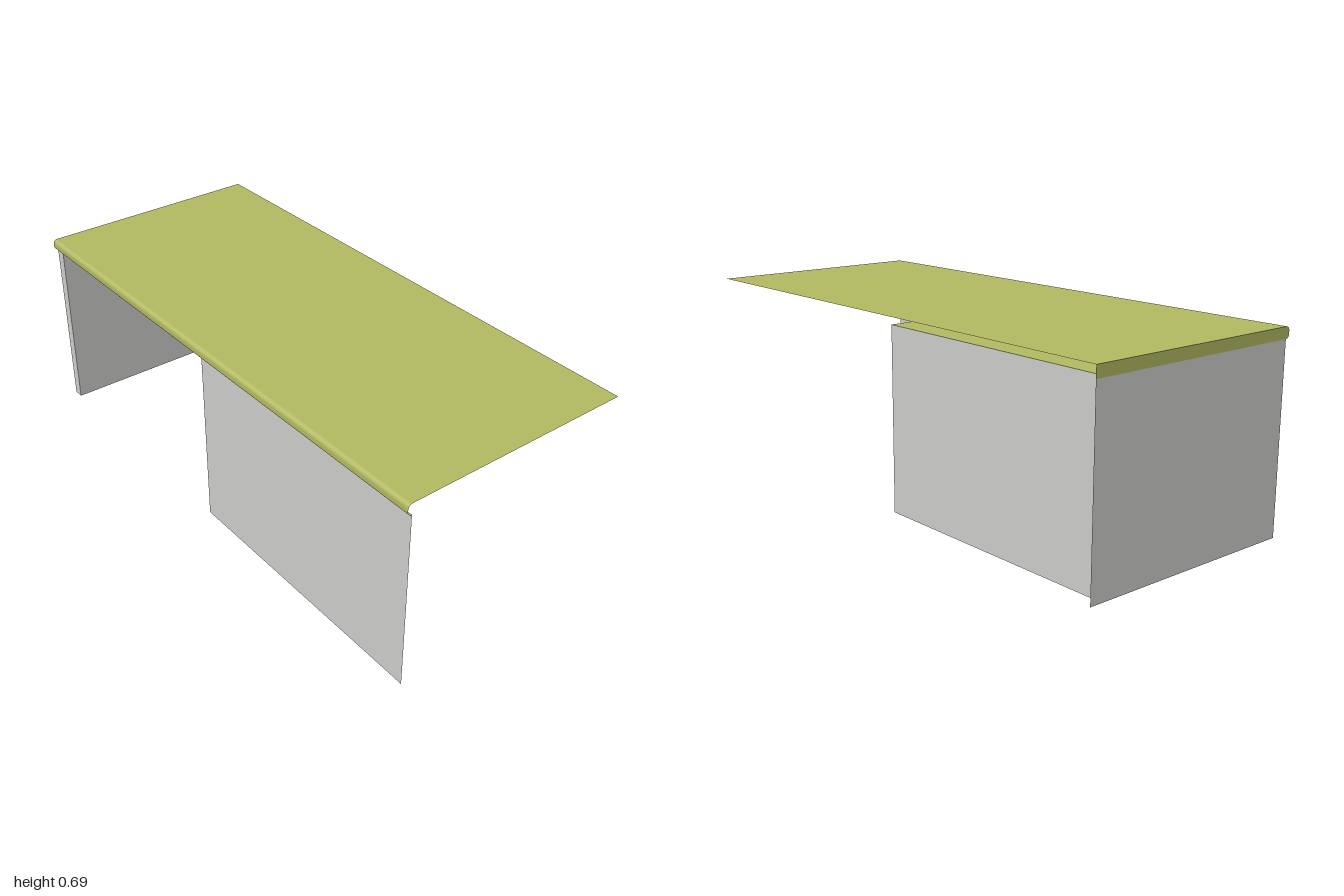
import * as THREE from 'three';

const X = 1, BACK = -0.425, FACE = 0.41, KNEE_BACK = -0.378;
const LEG_IN = -0.962, KNEE_END = -0.02;
const Y0 = 0.652, Y1 = 0.692, R = 0.015;

export function createModel() {
  const group = new THREE.Group();
  const panelGrey = new THREE.MeshStandardMaterial({ color: 0xcbcbca, side: THREE.DoubleSide });
  panelGrey.name = 'panelGrey';
  const topGreen = new THREE.MeshStandardMaterial({ color: 0xb0b861, side: THREE.DoubleSide });
  topGreen.name = 'topGreen';

  const add = (name, geometry, material) => {
    const mesh = new THREE.Mesh(geometry, material);
    mesh.name = name;
    group.add(mesh);
    return mesh;
  };

  // Upright panels: one continuous folded sheet, as plan points [x, z]
  const plan = [[-X, BACK], [-X, FACE], [LEG_IN, FACE], [LEG_IN, KNEE_BACK],
    [KNEE_END, KNEE_BACK], [KNEE_END, FACE], [X, FACE]];
  const names = ['legOuterPanel', 'legFrontEdge', 'legInnerPanel',
    'kneeholeBackPanel', 'kneeholeSidePanel', 'frontPanel'];
  names.forEach((name, i) => {
    const [ax, az] = plan[i], [bx, bz] = plan[i + 1];
    const panel = add(name, new THREE.PlaneGeometry(Math.hypot(bx - ax, bz - az), Y0), panelGrey);
    panel.position.set((ax + bx) / 2, Y0 / 2, (az + bz) / 2);
    panel.rotation.y = -Math.atan2(bz - az, bx - ax);
  });

  // Horizontal sheets: worktop surface and the ceiling of the kneehole
  const sheet = (name, x0, x1, z0, z1, y, tilt) => {
    const mesh = add(name, new THREE.PlaneGeometry(x1 - x0, z1 - z0), topGreen);
    mesh.rotation.x = tilt;
    mesh.position.set((x0 + x1) / 2, y, (z0 + z1) / 2);
  };
  sheet('worktop', -X, X, BACK, FACE, Y1, -Math.PI / 2);
  sheet('kneeholeCeiling', LEG_IN, KNEE_END, KNEE_BACK, FACE, Y0, Math.PI / 2);

  // Rounded front nosing: two quarter rounds joined by a short flat
  const steps = 8, profile = [];
  [[Y1 - R, Math.PI / 2], [Y0 + R, 0]].forEach(([cy, start]) => {
    for (let i = 0; i <= steps; i++) {
      const a = start - (i / steps) * Math.PI / 2;
      profile.push({ z: FACE + R * Math.cos(a), y: cy + R * Math.sin(a), nz: Math.cos(a), ny: Math.sin(a) });
    }
  });
  const pos = [], nor = [], idx = [];
  profile.forEach((p, i) => {
    for (const x of [-X, X]) {
      pos.push(x, p.y, p.z);
      nor.push(0, p.ny, p.nz);
    }
    if (i > 0) {
      const k = 2 * (i - 1);
      idx.push(k, k + 2, k + 1, k + 1, k + 2, k + 3);
    }
  });
  const nosing = new THREE.BufferGeometry();
  nosing.setAttribute('position', new THREE.Float32BufferAttribute(pos, 3));
  nosing.setAttribute('normal', new THREE.Float32BufferAttribute(nor, 3));
  nosing.setIndex(idx);
  add('frontNosing', nosing, topGreen);

  // End cap of the worktop on the leg side
  const cap = new THREE.Shape([
    new THREE.Vector2(BACK, Y0),
    ...profile.slice().reverse().map((p) => new THREE.Vector2(p.z, p.y)),
    new THREE.Vector2(BACK, Y1),
  ]);
  const end = add('worktopEndCap', new THREE.ShapeGeometry(cap), topGreen);
  end.rotation.y = -Math.PI / 2;
  end.position.x = -X;

  return group;
}
